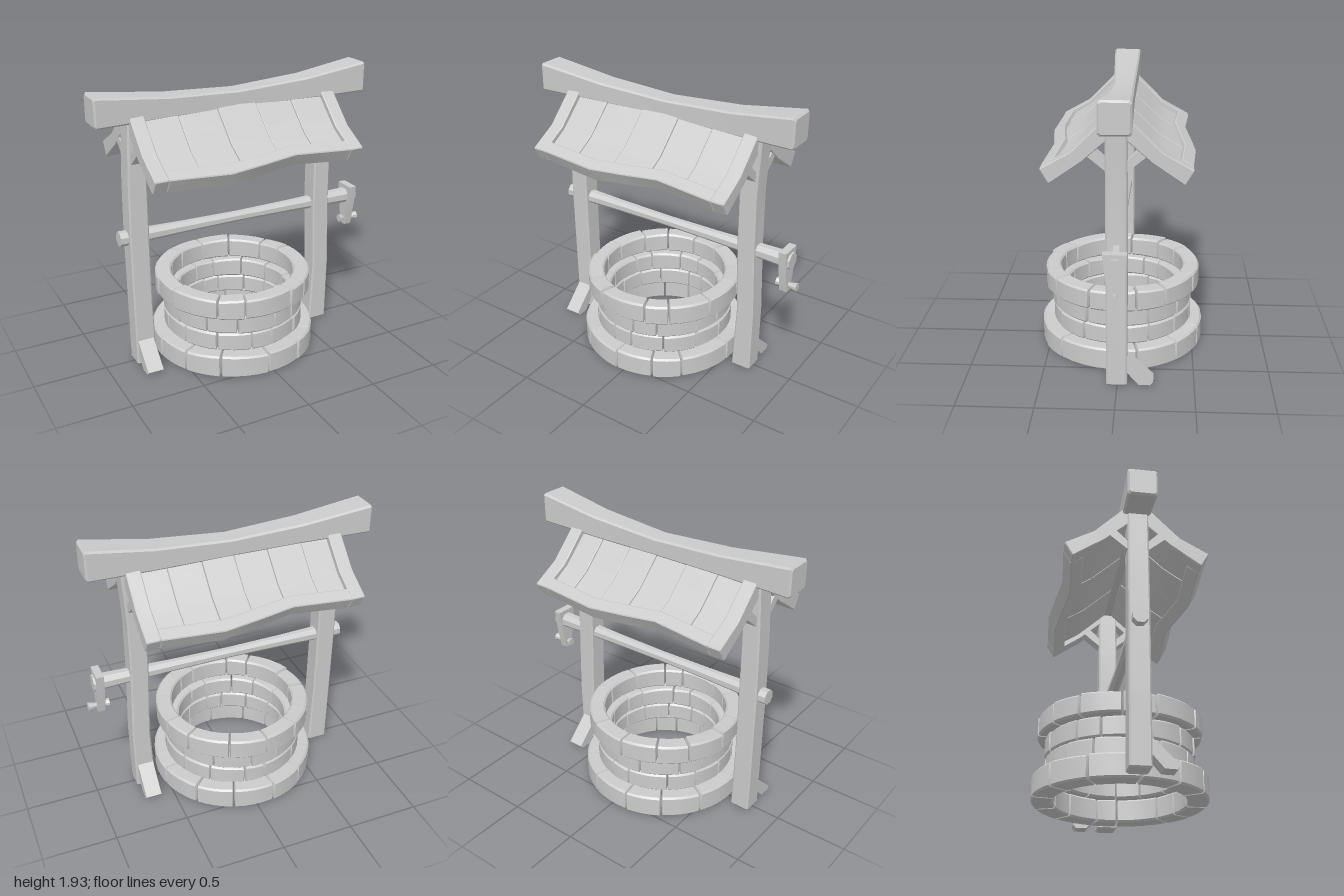
import * as THREE from 'three';
import { toCreasedNormals } from 'three/addons/utils/BufferGeometryUtils.js';

const material = new THREE.MeshStandardMaterial({ color: 0xcccccc });

function mesh(name, geometry) {
  const m = new THREE.Mesh(toCreasedNormals(geometry, 0.5), material);
  m.name = name;
  return m;
}

// Closed solid through rings of points, capped at both ends and turned outwards.
function loft(name, rings) {
  const n = rings[0].length, pts = rings.flat(), faces = [];
  for (let r = 0; r < rings.length - 1; r++)
    for (let i = 0; i < n; i++) {
      const a = r * n + i, b = r * n + (i + 1) % n;
      faces.push([a, b, b + n], [a, b + n, a + n]);
    }
  const last = (rings.length - 1) * n;
  for (let i = 1; i < n - 1; i++) faces.push([0, i + 1, i], [last, last + i, last + i + 1]);
  const cross = new THREE.Vector3();
  let volume = 0;
  for (const [a, b, c] of faces) volume += pts[a].dot(cross.crossVectors(pts[b], pts[c]));
  if (volume < 0) faces.forEach((f) => f.reverse());
  const g = new THREE.BufferGeometry().setFromPoints(pts);
  g.setIndex(faces.flat());
  return mesh(name, g);
}

// Bevelled bar through sections [pos, u0, u1, v0, v1]; map turns (pos, u, v) into a point.
function bar(name, sections, map, c = 0.01) {
  const ring = (pos, [, u0, u1, v0, v1], inset) => {
    const a = u0 + inset, b = u1 - inset, d = v0 + inset, e = v1 - inset;
    return [[a + c, d], [b - c, d], [b, d + c], [b, e - c], [b - c, e], [a + c, e], [a, e - c], [a, d + c]]
      .map(([u, v]) => map(pos, u, v));
  };
  const first = sections[0], end = sections[sections.length - 1];
  const rings = [ring(first[0], first, c)];
  sections.forEach((s) => rings.push(ring(s === first ? s[0] + c : s === end ? s[0] - c : s[0], s, 0)));
  rings.push(ring(end[0], end, c));
  return loft(name, rings);
}

// Outline in (z, y) extruded between two x positions.
function prism(name, points, x0, x1) {
  const shape = new THREE.Shape(points.map(([z, y]) => new THREE.Vector2(z, y)));
  const g = new THREE.ExtrudeGeometry(shape, { depth: x1 - x0, bevelEnabled: false });
  return mesh(name, g.rotateY(-Math.PI / 2).translate(x1, 0, 0));
}

// Round rod along x through stations [x, radius].
function rod(name, stations, y, sides) {
  return loft(name, stations.map(([x, r]) => Array.from({ length: sides }, (_, i) => {
    const a = ((i + 0.5) / sides) * Math.PI * 2;
    return new THREE.Vector3(x, y + r * Math.sin(a), r * Math.cos(a));
  })));
}

let seed = 7;
const random = () => (seed = (seed * 16807) % 2147483647) / 2147483647;

// One course of wedge-shaped stones of uneven width.
function stoneCourse(name, y0, y1, inner, outer, count, turn) {
  const course = new THREE.Group();
  course.name = name;
  const cuts = Array.from({ length: count }, (_, i) => ((i + 0.4 * (random() - 0.5)) / count) * Math.PI * 2 + turn);
  cuts.push(cuts[0] + Math.PI * 2);
  for (let i = 0; i < count; i++) {
    const a0 = cuts[i] + 0.006, a1 = cuts[i + 1] - 0.006;
    const bump = 0.01 * (random() - 0.5), tilt = 0.012 * (random() - 0.5);
    const sections = [0, 0.25, 0.5, 0.75, 1].map((t) =>
      [a0 + (a1 - a0) * t, inner, outer + bump, y0, y1 + tilt * (t - 0.5) * 2]);
    course.add(bar('stone', sections, (a, r, y) =>
      new THREE.Vector3(-0.035 + r * Math.cos(a), y, r * Math.sin(a)), 0.012));
  }
  return course;
}

// Roof slope: point at local x, distance s down the bent slope, and depth v below its face.
const outerLine = [[0.05, 1.785], [0.275, 1.56], [0.465, 1.455]];
const innerLine = [[0.01, 1.675], [0.21, 1.5], [0.41, 1.36]];
const BEND = 0.318, EAVE = 0.535, THICK = 0.11;
function roofPoint(x, s, v) {
  const k = s < BEND ? 0 : 1;
  const t = k ? (s - BEND) / (EAVE - BEND) : s / BEND;
  const along = (line, i) => line[k][i] + (line[k + 1][i] - line[k][i]) * t;
  const mix = (i) => along(outerLine, i) + (along(innerLine, i) - along(outerLine, i)) * (v / THICK);
  return new THREE.Vector3(x, mix(1), mix(0));
}

function roofSide(name, breaks) {
  const side = new THREE.Group();
  side.name = name;
  const slope = (s, x, v) => roofPoint(x, s, v);
  const half = 0.7375, inside = 0.6425;
  for (const [x0, x1] of [[-half, -inside], [inside, half]])
    side.add(bar('roofSideRail', [0, BEND, EAVE].map((s) => [s, x0, x1, 0, THICK]), slope, 0.006));
  // wavy rail along the eave
  const wave = [[-inside - 0.004, 0], [-0.24, 0.03], [0, 0], [0.24, -0.035], [inside + 0.004, 0]];
  side.add(bar('eaveRail', wave.map(([x, d]) => [x, 0.45 + d, EAVE + d, 0, THICK]), roofPoint, 0.006));
  // recessed planks
  const edges = [-inside, ...breaks, inside];
  for (let i = 0; i < edges.length - 1; i++) {
    const drop = 0.004 * (i % 2);
    side.add(bar('roofPlank', [0, 0.2, BEND, 0.39, 0.49].map((s) =>
      [s, edges[i] + 0.002, edges[i + 1] - 0.002, 0.03 + drop, 0.07 + drop]), slope, 0.004));
  }
  side.position.x = -0.0375;
  return side;
}

export function createModel() {
  const model = new THREE.Group();
  model.name = 'well';

  // stone ring
  model.add(
    stoneCourse('baseCourse', 0, 0.155, 0.43, 0.572, 13, 0.2),
    stoneCourse('lowerCourse', 0.155, 0.285, 0.385, 0.488, 14, 0.5),
    stoneCourse('middleCourse', 0.285, 0.42, 0.385, 0.488, 13, 0.05),
    stoneCourse('rimCourse', 0.42, 0.56, 0.43, 0.54, 13, 0.35));

  // posts, slightly crooked
  const upright = (y, x, z) => new THREE.Vector3(x, y, z);
  const post = (name, rows) => model.add(bar(name, rows.map(([y, x0, x1]) => [y, x0, x1, -0.065, 0.07]), upright));
  post('rightPost', [[0, -0.795, -0.655], [0.45, -0.8, -0.668], [0.95, -0.805, -0.672], [1.35, -0.8, -0.672], [1.74, -0.785, -0.665]]);
  post('leftPost', [[0, 0.58, 0.72], [0.45, 0.6, 0.725], [0.95, 0.582, 0.708], [1.35, 0.582, 0.705], [1.74, 0.605, 0.725]]);

  // foot braces on opposite sides, and a pair of roof braces per post
  const foot = [[0.05, 0.205], [0.235, 0.025], [0.215, 0], [0.14, 0.002], [0.05, 0.105]];
  const strut = [[0.05, 1.43], [0.05, 1.49], [0.145, 1.585], [0.195, 1.55]];
  const flip = (pts) => pts.map(([z, y]) => [-z, y]);
  model.add(prism('rightFootBrace', foot, -0.785, -0.675), prism('leftFootBrace', flip(foot), 0.595, 0.705));
  for (const x of [-0.73, 0.65])
    for (const pts of [strut, flip(strut)]) model.add(prism('roofBrace', pts, x - 0.045, x + 0.045));

  // sagging ridge beam
  model.add(bar('ridgeBeam', [
    [-1, 1.705, 1.9, -0.098, 0.095], [-0.5, 1.712, 1.848, -0.09, 0.075], [0, 1.712, 1.828, -0.086, 0.056],
    [0.5, 1.712, 1.862, -0.092, 0.075], [0.945, 1.722, 1.927, -0.1, 0.098]],
  (x, y, z) => new THREE.Vector3(x, y, z), 0.012));

  // roof slopes
  const back = roofSide('backRoof', [-0.4675, -0.2375, -0.02, 0.2125, 0.4525]);
  back.rotation.y = Math.PI;
  model.add(roofSide('frontRoof', [-0.41, -0.13, 0.15, 0.41]), back);

  // axle, crank and handle
  model.add(
    rod('axle', [[-0.86, 0.052], [-0.7, 0.05], [-0.4, 0.042], [0, 0.037], [0.4, 0.042], [0.7, 0.05], [0.955, 0.058]], 0.93, 8),
    prism('crankArm', [[0.075, 1.01], [0.062, 0.89], [0.028, 0.705], [-0.024, 0.705], [-0.058, 0.89], [-0.072, 1.01]], 0.888, 0.94),
    rod('crankHandle', [[0.855, 0.029], [0.872, 0.026], [0.885, 0.018], [0.955, 0.018], [0.975, 0.024], [1, 0.029]], 0.748, 8));
  return model;
}
